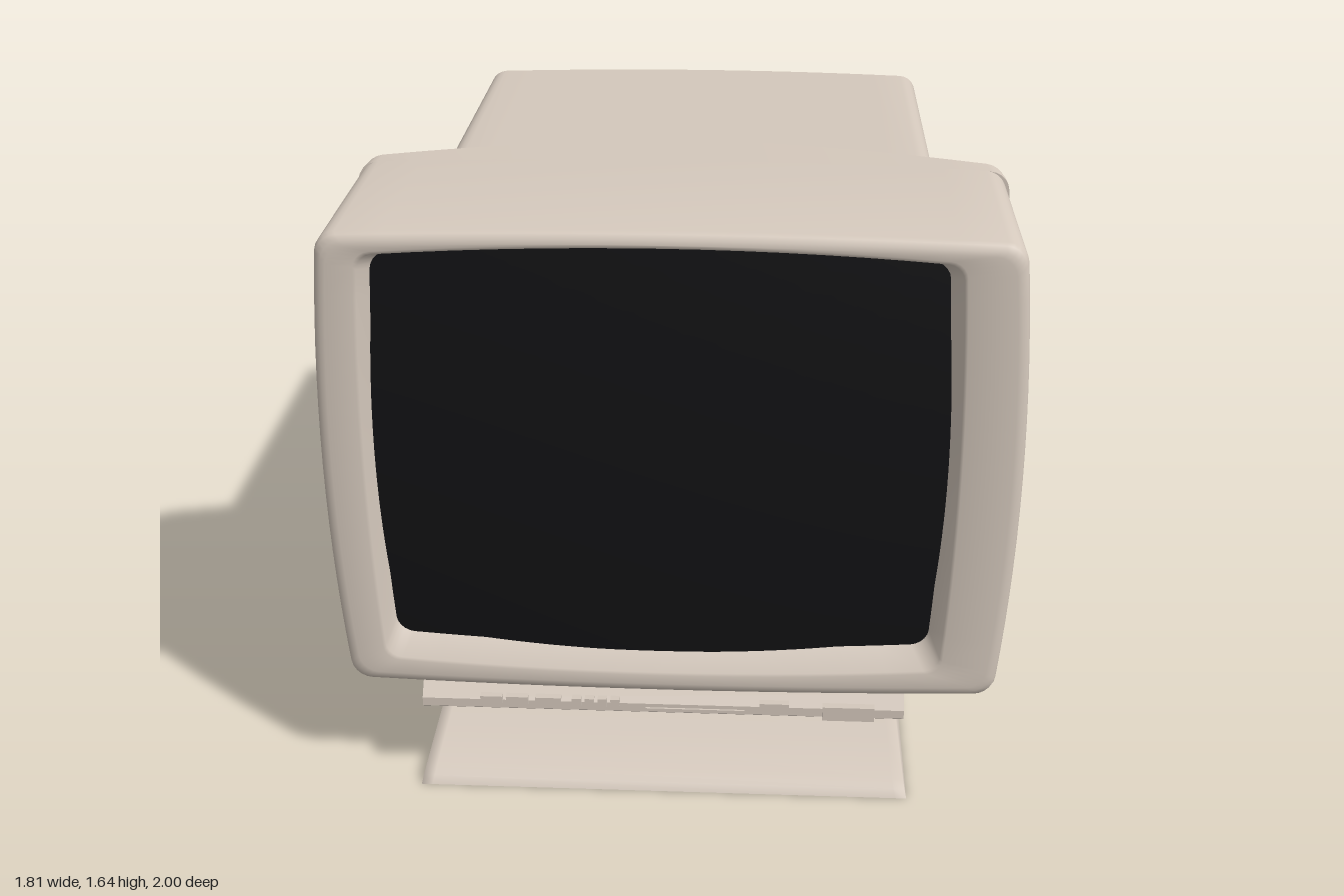
import * as THREE from 'three';
import { toCreasedNormals } from 'three/addons/utils/BufferGeometryUtils.js';
import { ParametricGeometry } from 'three/addons/geometries/ParametricGeometry.js';

const shell = new THREE.MeshStandardMaterial({ color: 0xd4c8bc });
const thin = new THREE.MeshStandardMaterial({ color: 0xd4c8bc, side: THREE.DoubleSide });
const glass = new THREE.MeshStandardMaterial({ color: 0x121214, side: THREE.DoubleSide });

// Surface through rows of points; closed joins the end of each row to its start.
function loft(rows, closed = true, crease = 0.6) {
  const n = rows[0].length, index = [];
  for (let i = 0; i < rows.length - 1; i++) {
    for (let j = 0; j < (closed ? n : n - 1); j++) {
      const k = (j + 1) % n, a = i * n + j, b = i * n + k;
      index.push(a, b, a + n, b, b + n, a + n);
    }
  }
  const g = new THREE.BufferGeometry();
  g.setAttribute('position', new THREE.Float32BufferAttribute(rows.flat(2), 3));
  g.setIndex(index);
  return toCreasedNormals(g, crease);
}

// Rounded rectangle with bulging sides, counter-clockwise, as [x, y] pairs.
function outline(x0, x1, y0, y1, r, bx = 0, by = 0) {
  const cx = (x0 + x1) / 2, cy = (y0 + y1) / 2, hw = (x1 - x0) / 2, hh = (y1 - y0) / 2;
  const signs = [[1, 1], [-1, 1], [-1, -1], [1, -1]], pts = [];
  signs.forEach(([sx, sy], c) => {
    for (let i = 0; i <= 5; i++) {
      const a = (c + i / 5) * Math.PI / 2;
      pts.push([sx * (hw - r) + r * Math.cos(a), sy * (hh - r) + r * Math.sin(a)]);
    }
    const [tx, ty] = signs[(c + 1) % 4], p = pts[pts.length - 1];
    const a = (c + 1) * Math.PI / 2;
    const q = [tx * (hw - r) + r * Math.cos(a), ty * (hh - r) + r * Math.sin(a)];
    for (let i = 1; i < 14; i++) {
      pts.push([p[0] + (q[0] - p[0]) * i / 14, p[1] + (q[1] - p[1]) * i / 14]);
    }
  });
  return pts.map(([x, y]) => {
    const u = x / hw, v = y / hh;
    return [cx + x * (1 - bx * v * v), cy + y * (1 - by * u * u)];
  });
}

// Places an outline at depth z (number or function of x), scaled about (0, 1).
function ring(pts, z, s = 1) {
  return pts.map(([px, py]) => {
    const x = px * s, y = 1 + (py - 1) * s;
    return [x, y, typeof z === 'function' ? z(x) : z];
  });
}

export function createModel() {
  const model = new THREE.Group();
  const add = (name, geometry, material = shell, parent = model) => {
    const mesh = new THREE.Mesh(geometry, material);
    mesh.name = name;
    parent.add(mesh);
    return mesh;
  };
  const box = (name, x0, x1, y0, y1, z0, z1) => add(name, new THREE.BoxGeometry(x1 - x0, y1 - y0, z1 - z0))
    .position.set((x0 + x1) / 2, (y0 + y1) / 2, (z0 + z1) / 2);
  const fill = [0, 0.2, 0.4, 0.6, 0.8, 0.92];

  // Front bezel with a sloping recess round the screen
  const outer = (d) => outline(-0.905 + d, 0.9 - d, 0.32 + d, 1.645 - d, 0.05, 0.037, 0.025);
  const lip = (d) => outline(-0.79 - d, 0.735 + d, 0.385 - d, 1.606 + d, 0.04, 0.027, 0.05);
  const opening = outline(-0.765, 0.705, 0.44, 1.595, 0.045, 0.027, 0.05);
  add('bezel', loft([
    ring(outer(0), 0.41), ring(outer(0), 0.955), ring(outer(0.005), 0.969),
    ring(outer(0.018), 0.978), ring(outer(0.03), 0.98), ring(lip(0.008), 0.98),
    ring(lip(0), 0.977), ring(opening, 0.93),
  ], true, 1));

  // Gently bulging picture tube, its edges tucked behind the bezel
  add('screen', new ParametricGeometry((s, t, p) => {
    const u = s * 2 - 1, v = t * 2 - 1;
    p.set(-0.03 + 0.745 * u * (1 - 0.027 * v * v), 1.0175 + 0.588 * v * (1 - 0.05 * u * u),
      0.965 - 0.025 * (u * u + v * v));
  }, 24, 20), glass);

  // Rim behind the bezel, its back swelling toward the middle
  const rimFront = outline(-0.905, 0.905, 0.265, 1.64, 0.05, 0.03, 0.018);
  const rimBack = outline(-0.9, 0.9, 0.31, 1.64, 0.05, 0.03, 0.018);
  const rimZ = (x) => 0.2 + 0.17 * Math.pow(Math.abs(x) / 0.9, 1.5);
  add('rearRim', loft([
    ...fill.map((s) => ring(rimBack, rimZ, s)), ring(rimBack, rimZ),
    ring(rimFront, 0.4), ring(rimFront, 0.415), ring(rimFront, 0.415, 0.88),
  ]));

  // Rear housing with a bowed, sharp-edged back
  const body = outline(-0.72, 0.717, 0.435, 1.51, 0.05);
  const backZ = (x) => -1 + 0.05 * (x / 0.72) ** 2;
  add('rearHousing', loft([
    ...fill.map((s) => ring(body, backZ, s)), ring(body, backZ), ring(body, 0.42),
  ]));

  // Cooling louvres on both sides
  const fin = new THREE.CylinderGeometry(0.0155, 0.0155, 1.23, 8).rotateX(Math.PI / 2);
  for (const side of [1, -1]) {
    const louvres = new THREE.Group();
    louvres.name = side > 0 ? 'leftLouvres' : 'rightLouvres';
    for (let i = 0; i < 26; i++) {
      add('louvre', fin, shell, louvres).position.set(side * 0.719, 0.527 + i * 0.0343, -0.275);
    }
    model.add(louvres);
  }

  // Control strip under the bezel
  const strip = new THREE.Shape([
    [0.4, 0.255], [0.975, 0.255], [0.988, 0.265], [0.988, 0.29], [0.96, 0.325], [0.4, 0.325],
  ].map(([z, y]) => new THREE.Vector2(z, y)));
  add('controlStrip', new THREE.ExtrudeGeometry(strip, { depth: 1.31, bevelEnabled: false })
    .rotateY(-Math.PI / 2)).position.x = 0.63;

  // Buttons: [left edge, right edge]
  for (const [a, b] of [[-0.52, -0.46], [-0.45, -0.39], [-0.37, -0.3], [-0.27, -0.245],
    [-0.235, -0.21], [-0.2, -0.175], [-0.165, -0.14], [0.24, 0.32]]) {
    box('button', a, b, 0.28, 0.305, 0.95, 0.996);
  }
  box('powerSwitch', 0.41, 0.55, 0.26, 0.302, 0.95, 1);
  box('indicatorSlot', -0.07, 0.2, 0.273, 0.279, 0.95, 0.993);

  // Swivel ball
  const ball = [[0, 0.205], [0.16, 0.222], [0.24, 0.245], [0.29, 0.29], [0.345, 0.375], [0.367, 0.45]];
  add('swivelBall', new THREE.LatheGeometry(ball.map(([r, y]) => new THREE.Vector2(r, y)), 24), thin)
    .position.set(-0.01, 0, 0.145);

  // Oval socket whose foot follows the arch of the base
  const oval = (r, height) => Array.from({ length: 40 }, (_, i) => {
    const a = i * Math.PI / 20, z = 0.145 + r * Math.sin(a);
    return [-0.01 + 0.77 * r * Math.cos(a), height(z), z];
  });
  add('socket', loft([
    oval(0.15, () => 0.225), oval(0.29, () => 0.225), oval(0.365, (z) => 0.15 - 0.26 * (z - 0.15) ** 2),
  ]), thin);

  // Hollow base: arched profile from back to front with softly shaded sloping ends
  const profile = [[-0.4, 0], [-0.38, 0.03], [-0.33, 0.072], [-0.25, 0.11], [-0.15, 0.137], [-0.05, 0.15],
    [0.05, 0.152], [0.2, 0.146], [0.4, 0.128], [0.6, 0.102], [0.8, 0.068], [0.95, 0.037], [0.975, 0.022], [0.988, 0]];
  add('base', loft(profile.map(([z, y]) => {
    const top = 0.675 - y * 0.23;
    return [[0.675, 0], [top, y], [top - 0.03, y], [0.03 - top, y], [-top, y], [-0.675, 0]]
      .map(([x, h]) => [x - 0.025, h, z]);
  }), false, 1.5), thin);

  return model;
}
